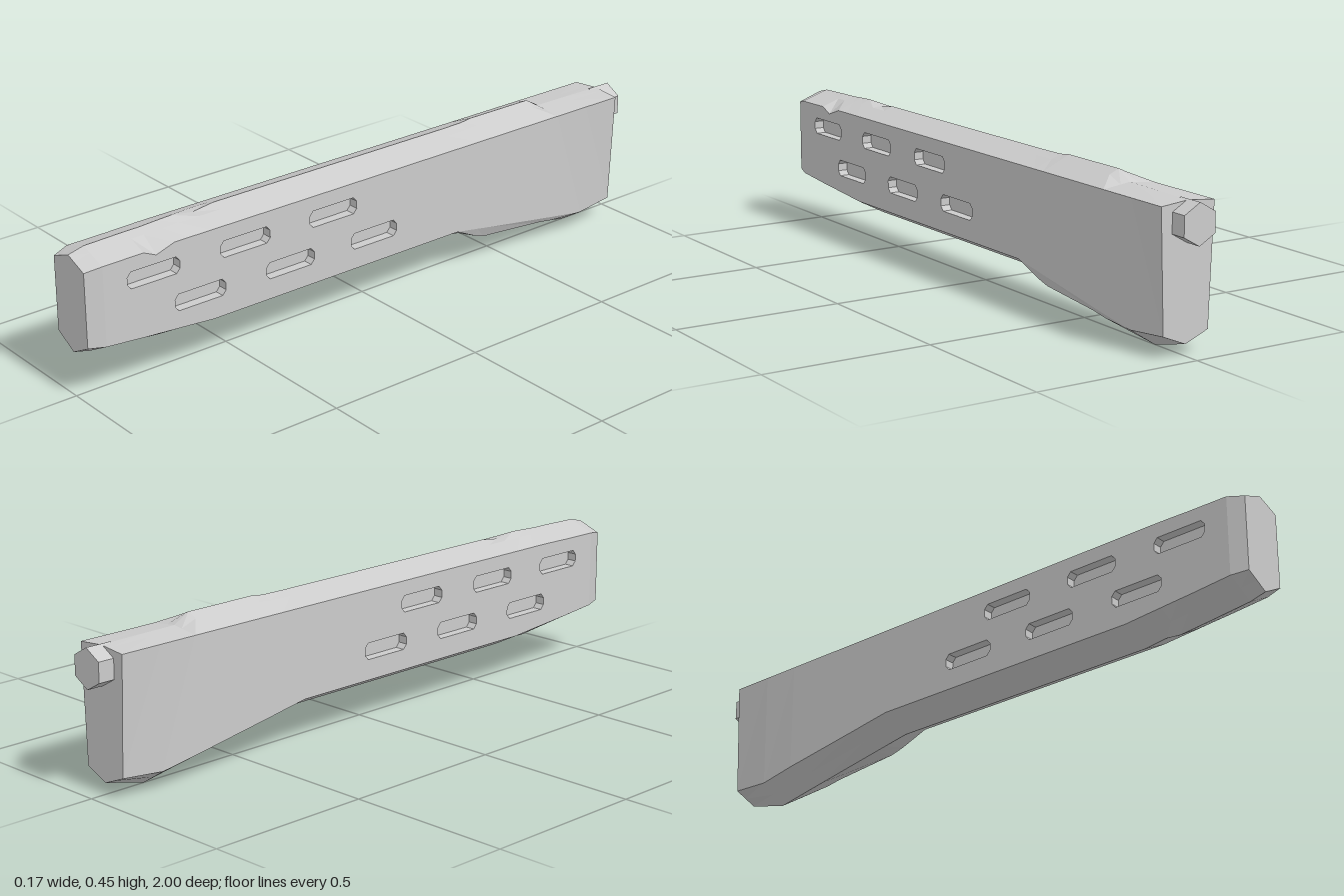
import * as THREE from 'three';

const HALF = 0.086, POCKET = 0.03, PANEL_END = -0.3;

// Hexagonal stations, front to back: z, ridge y, upper edge (x, y), lower edge (x, y), keel y
const stations = [
  [1.00, 0.425, 0.072, 0.397, 0.072, 0.175, 0.137],
  [0.95, 0.437, HALF, 0.407, HALF, 0.170, 0.124],
  [0.82, 0.440, HALF, 0.408, HALF, 0.158, 0.110],
  [0.78, 0.440, HALF, 0.409, HALF, 0.155, 0.106],
  [0.72, 0.443, HALF, 0.410, HALF, 0.150, 0.100],
  [0.67, 0.445, HALF, 0.410, HALF, 0.146, 0.105],
  [0.60, 0.434, HALF, 0.410, HALF, 0.140, 0.096],
  [0.53, 0.443, HALF, 0.410, HALF, 0.140, 0.096],
  [-0.30, 0.443, HALF, 0.410, HALF, 0.140, 0.096],
  [-0.38, 0.444, HALF, 0.410, HALF, 0.127, 0.082],
  [-0.42, 0.449, HALF, 0.410, HALF, 0.120, 0.075],
  [-0.65, 0.449, HALF, 0.410, HALF, 0.083, 0.034],
  [-0.70, 0.421, HALF, 0.410, HALF, 0.075, 0.025],
  [-0.82, 0.420, HALF, 0.410, 0.082, 0.055, 0.003],
  [-0.95, 0.418, HALF, 0.410, 0.073, 0.065, 0.035],
];

const slots = [[0.79, 0.34], [0.485, 0.34], [0.175, 0.34], [0.64, 0.227], [0.33, 0.227], [0.025, 0.227]];

// Half of one cross-section, listed from the ridge down to the keel
function halfSection([z, ridge, ux, uy, lx, ly, keel], s) {
  let mid = [0.03, ridge + (uy - ridge) * 0.03 / ux];
  let bevel = [lx / 2, (ly + keel) / 2];
  if (z === 0.6) mid = [0.03, 0.4315];                  // small dip in the ridge
  if (s > 0) {
    if (z === 0.78) uy = 0.39;                          // nick in the upper edge
    if (z === -0.3 || z === -0.82) bevel = [lx, ly];    // dented lower bevel
    if (z === -0.38) bevel = [0.075, 0.1];
    if (z === -0.42) bevel = [0.07, 0.085];
    if (z === -0.65 || z === -0.7) bevel = [0.077, ly - 0.015];
  }
  return [[0, ridge], mid, [ux, uy], [lx, ly], bevel, [0, keel]].map(([x, y]) => [x, y, z]);
}

// Slot outline with clipped corners, anticlockwise in (z, y)
function slotOutline([z, y]) {
  const a = 0.085, b = 0.025, ca = 0.012, cb = 0.014;
  return [[-a + ca, -b], [a - ca, -b], [a, -b + cb], [a, b - cb],
    [a - ca, b], [-a + ca, b], [-a, b - cb], [-a, -b + cb]]
    .map(([u, v]) => new THREE.Vector2(z + u, y + v));
}

function halfBody(s) {
  const pos = [];
  const tri = (a, b, c) => (s > 0 ? [a, b, c] : [a, c, b]).forEach(p => pos.push(p[0] * s, p[1], p[2]));
  const quad = (a, b, c, d) => { tri(a, b, c); tri(a, c, d); };
  const flat = (geo, x) => {
    const p = geo.attributes.position, idx = geo.index;
    const at = i => [x, p.getY(idx.getX(i)), p.getX(idx.getX(i))];
    for (let i = 0; i < idx.count; i += 3) tri(at(i), at(i + 2), at(i + 1));
  };
  const secs = stations.map(st => halfSection(st, s));

  // Skin between stations; the slotted panel is made separately
  for (let k = 0; k < secs.length - 1; k++) {
    const a = secs[k], b = secs[k + 1];
    for (let i = 0; i < 5; i++) {
      if (i === 2 && k > 0 && b[0][2] >= PANEL_END) continue;
      quad(a[i], a[i + 1], b[i + 1], b[i]);
    }
  }

  // End caps
  const front = secs[0], back = secs[secs.length - 1];
  for (let i = 1; i < 5; i++) {
    tri(front[0], front[i + 1], front[i]);
    tri(back[0], back[i], back[i + 1]);
  }

  // Side panel pierced by the slots
  const run = secs.filter(q => q[0][2] <= 0.95 && q[0][2] >= PANEL_END);
  const edge = i => run.map(q => new THREE.Vector2(q[i][2], q[i][1]));
  const panel = new THREE.Shape([...edge(2), ...edge(3).reverse()]);
  const outlines = slots.map(slotOutline);
  panel.holes = outlines.map(o => new THREE.Path(o));
  flat(new THREE.ShapeGeometry(panel), HALF);

  // Slot walls and floors
  const inner = HALF - POCKET;
  for (const o of outlines) {
    o.forEach((p, i) => {
      const q = o[(i + 1) % o.length];
      quad([HALF, p.y, p.x], [inner, p.y, p.x], [inner, q.y, q.x], [HALF, q.y, q.x]);
    });
    flat(new THREE.ShapeGeometry(new THREE.Shape(o)), inner);
  }

  const geo = new THREE.BufferGeometry();
  geo.setAttribute('position', new THREE.Float32BufferAttribute(pos, 3));
  geo.computeVertexNormals();
  return geo;
}

export function createModel() {
  const group = new THREE.Group();
  group.name = 'slottedHandguard';
  const material = new THREE.MeshStandardMaterial({ color: 0xcccccc, flatShading: true });
  const add = (name, geo) => {
    const mesh = new THREE.Mesh(geo, material);
    mesh.name = name;
    group.add(mesh);
    return mesh;
  };

  add('leftBody', halfBody(1));
  add('rightBody', halfBody(-1));

  // Hexagonal peg on the back, one corner up
  const peg = new THREE.CylinderGeometry(0.058, 0.058, 0.08, 6);
  peg.rotateX(Math.PI / 2);
  add('rearPeg', peg).position.set(0, 0.363, -0.96);

  return group;
}
